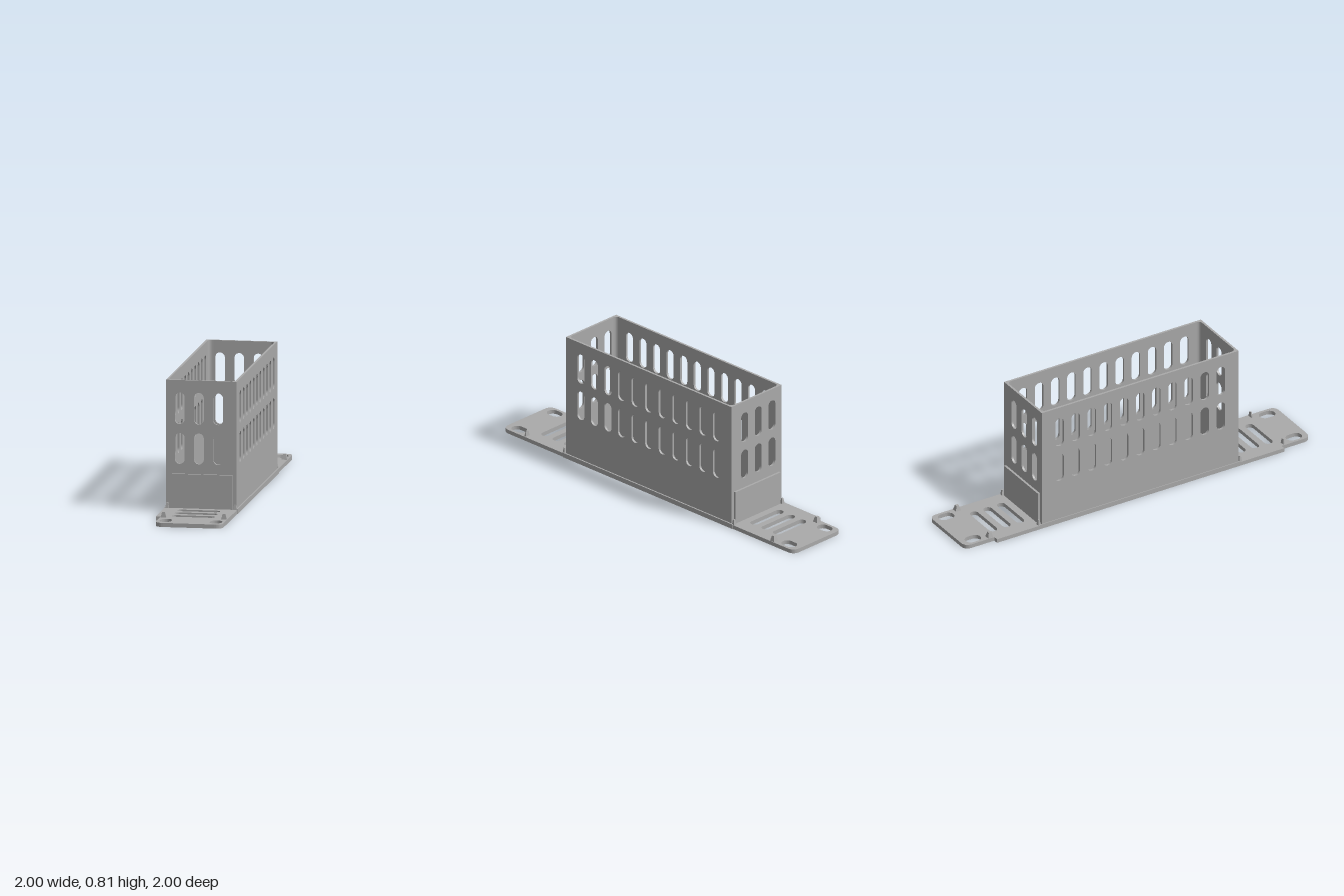
import * as THREE from 'three';

const BACK = -0.233, FRONT = 0.202, END = 0.7, TOP = 0.81, T = 0.014;
const PLATE = 0.025;

// Obround hole, long axis along x or y
function slot(cx, cy, w, h) {
  const p = new THREE.Path();
  const r = Math.min(w, h) / 2;
  if (h > w) {
    const d = h / 2 - r;
    p.absarc(cx, cy + d, r, 0, Math.PI, false);
    p.absarc(cx, cy - d, r, Math.PI, 2 * Math.PI, false);
  } else {
    const d = w / 2 - r;
    p.absarc(cx + d, cy, r, -Math.PI / 2, Math.PI / 2, false);
    p.absarc(cx - d, cy, r, Math.PI / 2, 1.5 * Math.PI, false);
  }
  p.closePath();
  return p;
}

function extrude(shape, depth) {
  return new THREE.ExtrudeGeometry(shape, { depth, bevelEnabled: false, curveSegments: 8 });
}

// Upright panel with two rows of ventilation slots
function ventPanel(from, to, centres) {
  const s = new THREE.Shape([
    new THREE.Vector2(from, 0), new THREE.Vector2(to, 0),
    new THREE.Vector2(to, TOP), new THREE.Vector2(from, TOP),
  ]);
  for (const c of centres) {
    s.holes.push(slot(c, 0.39, 0.06, 0.19), slot(c, 0.637, 0.06, 0.195));
  }
  return extrude(s, T);
}

export function createModel() {
  const model = new THREE.Group();
  const bracket = new THREE.Group();
  bracket.name = 'bracket';
  bracket.rotation.y = Math.PI / 4;
  model.add(bracket);

  const grey = new THREE.MeshStandardMaterial({ color: 0xaaaaaa });
  grey.name = 'sheet metal grey';

  const add = (name, geo, x = 0, y = 0, z = 0) => {
    const m = new THREE.Mesh(geo, grey);
    m.name = name;
    m.position.set(x, y, z);
    bracket.add(m);
    return m;
  };
  const box = (name, x0, x1, y0, y1, z0, z1) => add(name,
    new THREE.BoxGeometry(Math.abs(x1 - x0), y1 - y0, z1 - z0),
    (x0 + x1) / 2, (y0 + y1) / 2, (z0 + z1) / 2);

  // Long slotted walls
  const longCentres = Array.from({ length: 11 }, (_, i) => (i - 5) * 0.1148);
  const longWall = ventPanel(-END, END, longCentres);
  add('frontWall', longWall, 0, 0, FRONT - T);
  add('backWall', longWall, 0, 0, BACK);

  // Folded rails along the foot of the long walls
  box('frontRail', -0.715, 0.715, 0, 0.03, FRONT, 0.211);
  box('backRail', -0.715, 0.715, 0, 0.03, -0.238, BACK);

  // Short slotted walls
  const endWall = ventPanel(BACK + T, FRONT - T, [-0.148, -0.03, 0.088]);
  endWall.rotateY(-Math.PI / 2);
  add('leftEndWall', endWall, END, 0, 0);
  add('rightEndWall', endWall, -END + T, 0, 0);

  for (const s of [1, -1]) {
    const side = s > 0 ? 'left' : 'right';

    // Mounting plate: wide near the box, narrower with round corners at the tip
    const p = new THREE.Shape();
    const tip = 1.23, w = 0.207, r = 0.05, inner = 0.665;
    p.moveTo(s * inner, BACK + 0.03);
    p.lineTo(s * (END - T), BACK + T);
    p.lineTo(s * END, -0.238);
    p.lineTo(s * 1.022, -0.238);
    p.lineTo(s * 1.022, -w);
    p.lineTo(s * (tip - r), -w);
    p.quadraticCurveTo(s * tip, -w, s * tip, -w + r);
    p.lineTo(s * tip, w - r);
    p.quadraticCurveTo(s * tip, w, s * (tip - r), w);
    p.lineTo(s * END, w);
    p.lineTo(s * (END - T), FRONT - T);
    p.lineTo(s * inner, FRONT - 0.03);
    // Notch in the inner lip
    p.lineTo(s * inner, 0.09);
    p.lineTo(s * (inner + 0.015), 0.075);
    p.lineTo(s * (inner + 0.015), -0.095);
    p.lineTo(s * inner, -0.11);
    p.closePath();
    for (const u of [0.788, 0.884, 0.98]) p.holes.push(slot(s * u, -0.015, 0.055, 0.265));
    for (const v of [-0.154, 0.154]) p.holes.push(slot(s * 1.142, v, 0.105, 0.072));
    const plate = extrude(p, PLATE);
    plate.rotateX(Math.PI / 2);
    add(side + 'MountingPlate', plate, 0, PLATE, 0);

    // Upturned tab against the end wall
    box(side + 'Tab', s * END, s * 0.714, 0, 0.235, -0.21, 0.18);

    // Small tapered lugs on the plate edges and at the bend
    const lug = (name, u, v, lu, lv) => {
      const g = new THREE.CylinderGeometry(0.35, 0.5 * Math.SQRT2, 1, 4, 1).toNonIndexed();
      g.rotateY(Math.PI / 4);
      g.scale(lu, 0.036, lv);
      g.computeVertexNormals();
      add(name, g, s * u, PLATE + 0.016, v);
    };
    const thick = s > 0 ? 0.036 : 0.012;
    lug(side + 'BackLug', 1.045, -0.186, thick, 0.036);
    lug(side + 'FrontLug', 1.045, 0.186, thick, 0.036);
    lug(side + 'BackBendLug', 0.716, -0.222, 0.018, 0.022);
    lug(side + 'FrontBendLug', 0.716, 0.195, 0.018, 0.022);

    // Inside corner fillets, square outside and hollow inside
    for (const f of [1, -1]) {
      const c = new THREE.Shape();
      const R = 0.03;
      const zc = f > 0 ? FRONT - T : BACK + T;
      const xc = s * (END - T);
      c.moveTo(xc, zc);
      c.lineTo(xc - s * R, zc);
      c.quadraticCurveTo(xc, zc, xc, zc - f * R);
      c.closePath();
      const g = extrude(c, TOP);
      g.rotateX(Math.PI / 2);
      add(side + (f > 0 ? 'Front' : 'Back') + 'CornerFillet', g, 0, TOP, 0);
    }
  }
  return model;
}
